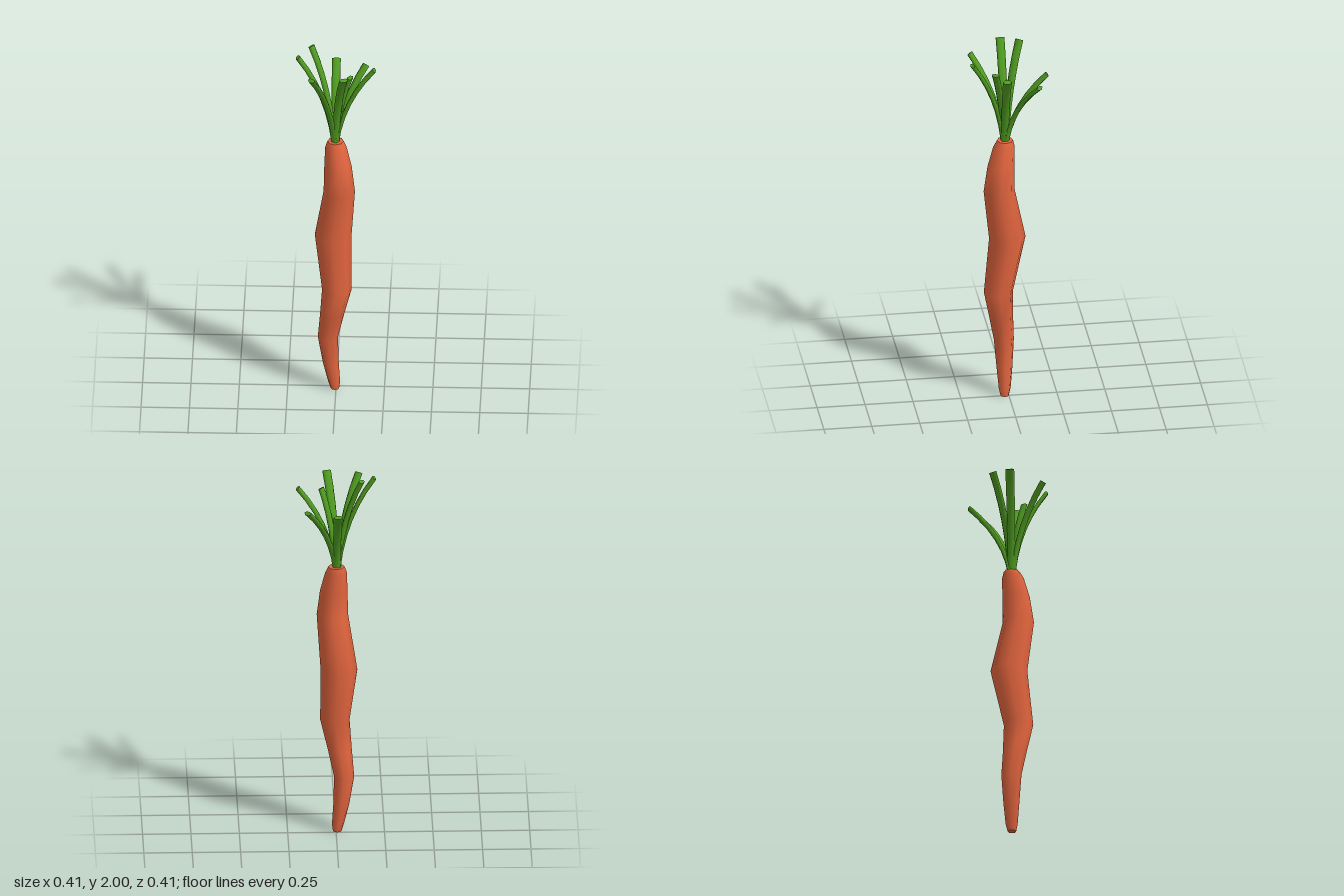
import * as THREE from 'three';

// Skin a list of rings (arrays of Vector3) with smooth sides and flat end caps
function loft(rings) {
  const n = rings[0].length;
  const pos = [], index = [];
  const add = ring => {
    const start = pos.length / 3;
    ring.forEach(p => pos.push(p.x, p.y, p.z));
    return start;
  };
  rings.forEach(add);
  for (let i = 0; i < rings.length - 1; i++) {
    for (let j = 0; j < n; j++) {
      const k = (j + 1) % n;
      const a = i * n + j, b = i * n + k, c = a + n, d = b + n;
      index.push(a, c, b, b, c, d);
    }
  }
  const bottom = add(rings[0]);
  const top = add(rings[rings.length - 1]);
  for (let j = 1; j < n - 1; j++) {
    index.push(bottom, bottom + j, bottom + j + 1);
    index.push(top, top + j + 1, top + j);
  }
  const geo = new THREE.BufferGeometry();
  geo.setAttribute('position', new THREE.Float32BufferAttribute(pos, 3));
  geo.setIndex(index);
  geo.computeVertexNormals();
  return geo;
}

// Elliptical ring spanned by the half-axes u and v
function ring(center, u, v, sides) {
  return Array.from({ length: sides }, (_, j) => {
    const a = (j / sides) * Math.PI * 2;
    return center.clone().addScaledVector(u, Math.cos(a)).addScaledVector(v, Math.sin(a));
  });
}

export function createModel() {
  const group = new THREE.Group();
  const orange = new THREE.MeshStandardMaterial({ color: 0xe2653e });
  orange.name = 'carrotOrange';
  const green = new THREE.MeshStandardMaterial({ color: 0x4f9c20 });
  green.name = 'leafGreen';

  // Crooked root: height, centre x, centre z, radius
  const profile = [
    [0, -0.006, 0.021, 0.022],
    [0.04, -0.01, 0.02, 0.031],
    [0.15, -0.027, 0.019, 0.041],
    [0.305, -0.042, 0.02, 0.052],
    [0.45, -0.02, 0.037, 0.062],
    [0.61, 0.005, 0.055, 0.076],
    [0.91, -0.015, 0.006, 0.095],
    [1.2, 0.018, 0.053, 0.081],
    [1.34, 0.011, 0.042, 0.071],
    [1.445, 0, 0.026, 0.056],
    [1.48, -0.002, 0.02, 0.042],
  ];
  const rootRings = profile.map(([y, x, z, r]) => ring(
    new THREE.Vector3(x, y, z), new THREE.Vector3(r, 0, 0), new THREE.Vector3(0, 0, r), 8));
  const root = new THREE.Mesh(loft(rootRings), orange);
  root.name = 'root';
  group.add(root);

  // Flattened stalks arching outwards: tip x, y, z
  const tips = [
    [-0.005, 1.845, -0.2],
    [0.15, 1.845, -0.14],
    [0.198, 1.915, 0.035],
    [0.075, 1.895, 0.08],
    [0.044, 1.945, 0.196],
    [-0.122, 1.935, 0.187],
    [-0.198, 1.975, 0.018],
    [-0.13, 1.992, -0.073],
  ];
  const leaves = new THREE.Group();
  leaves.name = 'leaves';
  const segments = 6;
  tips.forEach(([x, y, z], i) => {
    const out = new THREE.Vector3(x, 0, z - 0.02).normalize();
    const base = new THREE.Vector3(-0.004, 1.47, 0.02).addScaledVector(out, 0.008);
    const tip = new THREE.Vector3(x, y, z);
    const bend = base.clone().lerp(tip, 0.17).setY(base.y + (y - base.y) * 0.58);
    const curve = new THREE.QuadraticBezierCurve3(base, bend, tip);
    const side = new THREE.Vector3(-out.z, 0, out.x);
    const rings = [];
    for (let s = 0; s <= segments; s++) {
      const t = s / segments;
      const depth = side.clone().cross(curve.getTangent(t));
      rings.push(ring(curve.getPoint(t), side.clone().multiplyScalar(0.019 + 0.004 * t),
        depth.multiplyScalar(0.012), 6));
    }
    const stalk = new THREE.Mesh(loft(rings), green);
    stalk.name = `stalk${i + 1}`;
    leaves.add(stalk);
  });
  group.add(leaves);
  return group;
}
